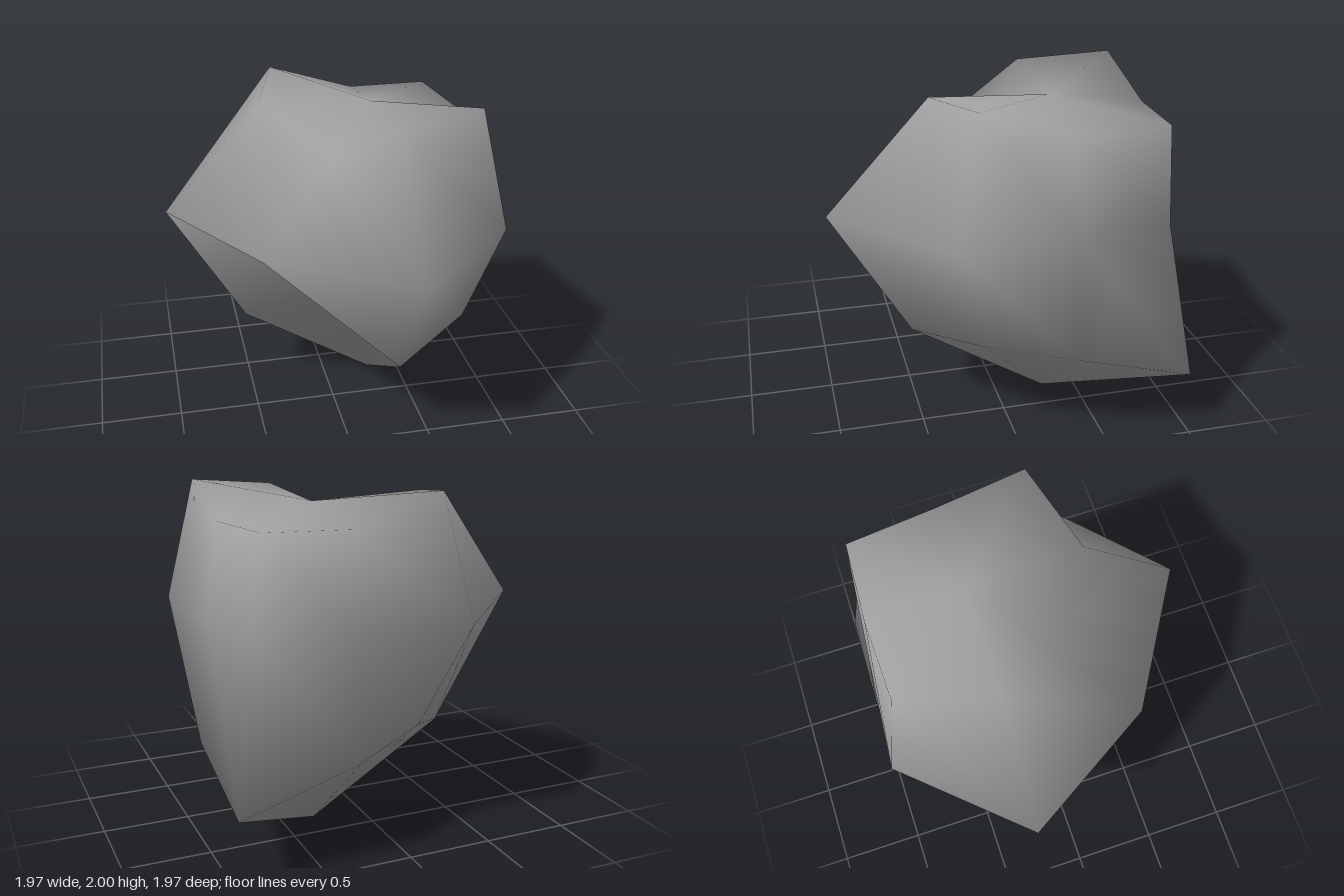
import * as THREE from 'three';

// Horizontal radius, height and (optional) extra turn of each corner, ring by ring
// from top to bottom. Each ring starts at -x and turns through +z, +x and -z in eighths.
const rings = [
  [[0.69, 1.94], [0.42, 1.69], [0.69, 1.94], [0.75, 2.0], [0.55, 1.83], [0.722, 1.84, 0.05], [0.56, 1.83], [0.76, 2.0]],
  [1.285, 1.13, 1.285, 0.945, 0.62, 0.77, 0.62, 0.95].map((r) => [r, 1.29]),
  [[0.82, 0.51], [0.5, 0.82], [0.82, 0.51], [0.7, 0.63], [0.68, 0.58], [0.965, 0.39], [0.685, 0.6], [0.65, 0.68]],
];
const centerX = 0.3;
const centerZ = -0.3;
const topY = 1.91;
const sides = 8;

// Uneven boulder: a coarse globe of three rings between two poles, shaded as a globe
function boulderGeometry() {
  const positions = [centerX, topY, centerZ];
  const normals = [0, 1, 0];
  rings.forEach((ring, k) => {
    const latitude = ((1 - k) * Math.PI) / 4;
    ring.forEach(([r, y, turn = 0], i) => {
      const angle = (i / sides) * Math.PI * 2;
      positions.push(centerX - r * Math.cos(angle + turn), y, centerZ + r * Math.sin(angle + turn));
      normals.push(
        -Math.cos(angle) * Math.cos(latitude),
        Math.sin(latitude),
        Math.sin(angle) * Math.cos(latitude),
      );
    });
  });
  positions.push(centerX, 0, centerZ);
  normals.push(0, -1, 0);

  const last = 1 + rings.length * sides;
  const at = (ring, i) => 1 + ring * sides + (i % sides);
  const index = [];
  for (let i = 0; i < sides; i++) {
    index.push(0, at(0, i), at(0, i + 1)); // top cap
    for (let k = 0; k < rings.length - 1; k++) {
      const a = at(k, i + 1), b = at(k, i), c = at(k + 1, i), d = at(k + 1, i + 1);
      index.push(a, b, d, b, c, d);
    }
    index.push(at(2, i), last, at(2, i + 1)); // bottom cap
  }

  const geometry = new THREE.BufferGeometry();
  geometry.setAttribute('position', new THREE.Float32BufferAttribute(positions, 3));
  geometry.setAttribute('normal', new THREE.Float32BufferAttribute(normals, 3));
  geometry.setIndex(index);
  return geometry;
}

export function createModel() {
  const stone = new THREE.MeshStandardMaterial({ color: 0x9f9f9f });
  stone.name = 'stone grey';

  const boulder = new THREE.Mesh(boulderGeometry(), stone);
  boulder.name = 'boulder';

  const group = new THREE.Group();
  group.name = 'rock';
  group.add(boulder);
  return group;
}
